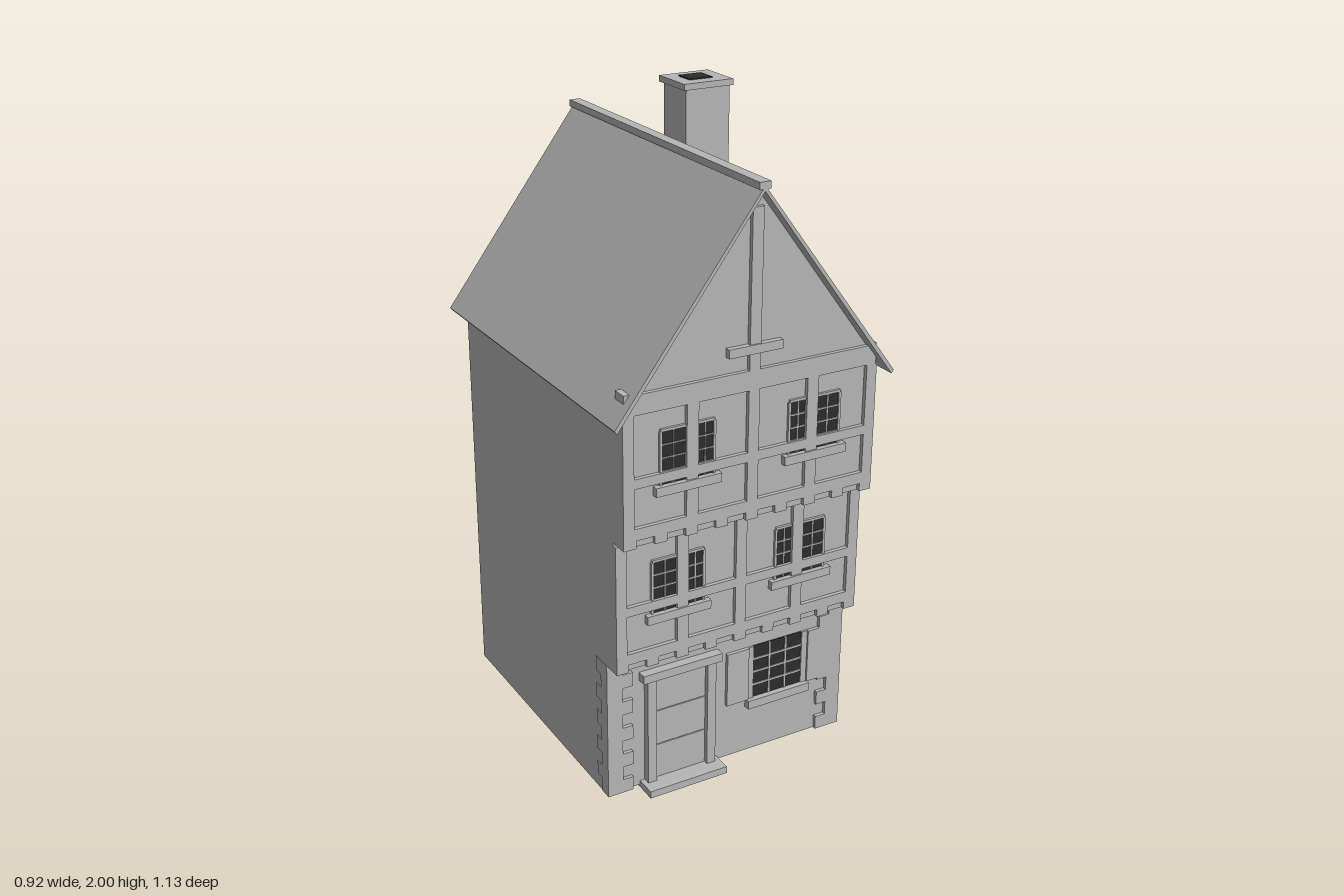
import * as THREE from 'three';

const stone = new THREE.MeshStandardMaterial({ color: 0xb6b6b6 });
stone.name = 'grey plaster';
const dark = new THREE.MeshStandardMaterial({ color: 0x2c2c2c });
dark.name = 'dark glass';

export function createModel() {
  const house = new THREE.Group();
  house.name = 'townhouse';

  const add = (name, geometry, material = stone) => {
    const mesh = new THREE.Mesh(geometry, material);
    mesh.name = name;
    house.add(mesh);
    return mesh;
  };
  // Box from its limits on each axis
  const box = (name, x0, x1, y0, y1, z0, z1, material) => {
    const g = new THREE.BoxGeometry(x1 - x0, y1 - y0, z1 - z0);
    g.translate((x0 + x1) / 2, (y0 + y1) / 2, (z0 + z1) / 2);
    return add(name, g, material);
  };
  const prism = (points, depth) => new THREE.ExtrudeGeometry(
    new THREE.Shape(points.map(p => new THREE.Vector2(...p))), { depth, bevelEnabled: false });

  // Stepped body: side outline (z, y) swept across the width
  const W = 0.42, BACK = -0.52;
  const body = prism([[BACK, 0.01], [0.412, 0.01], [0.412, 0.475], [0.472, 0.475],
    [0.472, 0.905], [0.522, 0.905], [0.522, 1.331], [BACK, 1.331]], 2 * W);
  body.rotateY(-Math.PI / 2);
  body.translate(W, 0, 0);
  add('walls', body);

  // Gable and roof
  const gable = prism([[-W, 1.331], [W, 1.331], [0, 1.888]], 0.522 - BACK);
  gable.translate(0, 0, BACK);
  add('gable', gable);
  const roof = prism([[-0.452, 1.282], [0, 1.889], [0.452, 1.282], [0.46, 1.292],
    [0, 1.905], [-0.46, 1.292]], 1.13);
  roof.translate(0, 0, -0.565);
  add('roof', roof);
  box('ridgeCap', -0.018, 0.018, 1.895, 1.916, -0.565, 0.565);

  // Chimney
  box('chimneyShaft', 0.235, 0.392, 1.38, 1.98, -0.402, -0.262);
  box('chimneyCap', 0.225, 0.402, 1.976, 1.996, -0.415, -0.257);
  box('chimneyFlue', 0.27, 0.352, 1.99, 2.0, -0.372, -0.302, dark);

  // Glazing with bars: cols x rows of panes over a dark plate
  const glazing = (x0, x1, y0, y1, z, cols, rows, bar) => {
    box('windowGlass', x0, x1, y0, y1, z, z + 0.003, dark);
    for (let i = 1; i < cols; i++) {
      const x = x0 + (x1 - x0) * i / cols;
      box('glazingBar', x - bar, x + bar, y0, y1, z, z + 0.006);
    }
    for (let j = 1; j < rows; j++) {
      const y = y0 + (y1 - y0) * j / rows;
      box('glazingBar', x0, x1, y - bar, y + bar, z, z + 0.006);
    }
  };

  // Two timbered storeys: base, rail heights, wall plane
  const storeys = [
    { base: 0.475, low: 0.535, mid: 0.66, high: 0.895, top: 0.905, wall: 0.472, pane: [0.645, 0.812], rise: 0.5 },
    { base: 0.905, low: 0.967, mid: 1.09, high: 1.31, top: 1.37, wall: 0.522, pane: [1.08, 1.242], rise: 0.93 },
  ];
  for (const s of storeys) {
    const front = s.wall + 0.013;
    box('bottomRail', -W, W, s.rise, s.low, s.wall - 0.005, front);
    box('topRail', -0.41, 0.41, s.high, s.top, s.wall - 0.005, front);
    box('centrePost', -0.018, 0.018, s.low, s.high, s.wall - 0.005, front);
    // Joist ends below the rail
    for (let i = 0; i < 9; i++) {
      const x = -0.4 + i * 0.1;
      box('joistEnd', x - 0.02, x + 0.02, s.base, s.rise, s.wall - 0.005, front);
    }
    for (const side of [-1, 1]) {
      const span = (name, a, b, y0, y1, z0, z1) =>
        box(name, Math.min(side * a, side * b), Math.max(side * a, side * b), y0, y1, z0, z1);
      span('cornerPost', 0.385, W, s.low, s.high, s.wall - 0.005, front);
      span('middlePost', 0.18, 0.218, s.low, s.high, s.wall - 0.005, front);
      span('middleRail', 0.018, 0.385, s.mid, s.mid + 0.03, s.wall - 0.005, front);
      span('windowSill', 0.106, 0.319, s.pane[0] - 0.028, s.pane[0], s.wall - 0.005, front + 0.006);
      // Casements beside the middle post
      for (const [a, b] of [[0.129, 0.18], [0.218, 0.294]]) {
        const x0 = Math.min(side * a, side * b), x1 = Math.max(side * a, side * b);
        glazing(x0, x1, s.pane[0], s.pane[1], s.wall, 2, 4, 0.002);
        box('windowHead', x0 - 0.004, x1 + 0.004, s.pane[1], s.pane[1] + 0.008, s.wall, s.wall + 0.008);
      }
      for (const x of [0.125, 0.298])
        span('windowJamb', x - 0.004, x + 0.004, s.pane[0], s.pane[1], s.wall, s.wall + 0.008);
    }
  }

  // Gable timber
  box('gablePost', -0.018, 0.018, 1.37, 1.84, 0.515, 0.535);
  box('gableSill', -0.088, 0.088, 1.42, 1.447, 0.515, 0.54);
  for (const side of [-1, 1])
    box('eavesPeg', side * 0.406 - 0.01, side * 0.406 + 0.01, 1.31, 1.375, 0.486, 0.534);

  // Corner stones of alternating length
  for (const side of [-1, 1]) {
    for (let i = 0; i < 10; i++) {
      const length = i % 2 ? 0.05 : 0.085;
      const depth = i % 2 ? 0.07 : 0.04;
      const y = 0.01 + i * 0.0465;
      const a = side * (W + 0.002), b = side * (W - length);
      box('cornerStone', Math.min(a, b), Math.max(a, b), y, y + 0.0465, 0.424 - depth, 0.424);
    }
  }

  // Door
  box('doorStep', -0.306, -0.034, 0, 0.024, 0.4, 0.48);
  box('doorLintel', -0.307, -0.033, 0.386, 0.414, 0.405, 0.442);
  for (const x of [-0.275, -0.066])
    box('doorPost', x - 0.015, x + 0.015, 0.024, 0.386, 0.405, 0.436);
  for (let i = 0; i < 3; i++) {
    const y = 0.024 + i * 0.121;
    box('doorPanel', -0.26, -0.081, y, y + 0.118, 0.405, 0.42);
  }

  // Ground floor window with shutters
  glazing(0.095, 0.272, 0.203, 0.388, 0.412, 3, 4, 0.003);
  box('shopSill', 0.07, 0.297, 0.174, 0.203, 0.405, 0.434);
  for (const x of [0.036, 0.333])
    box('shutter', x - 0.039, x + 0.039, 0.203, 0.388, 0.405, 0.424);
  for (const x of [0.085, 0.283])
    box('windowJamb', x - 0.01, x + 0.01, 0.203, 0.388, 0.405, 0.419);

  return house;
}
